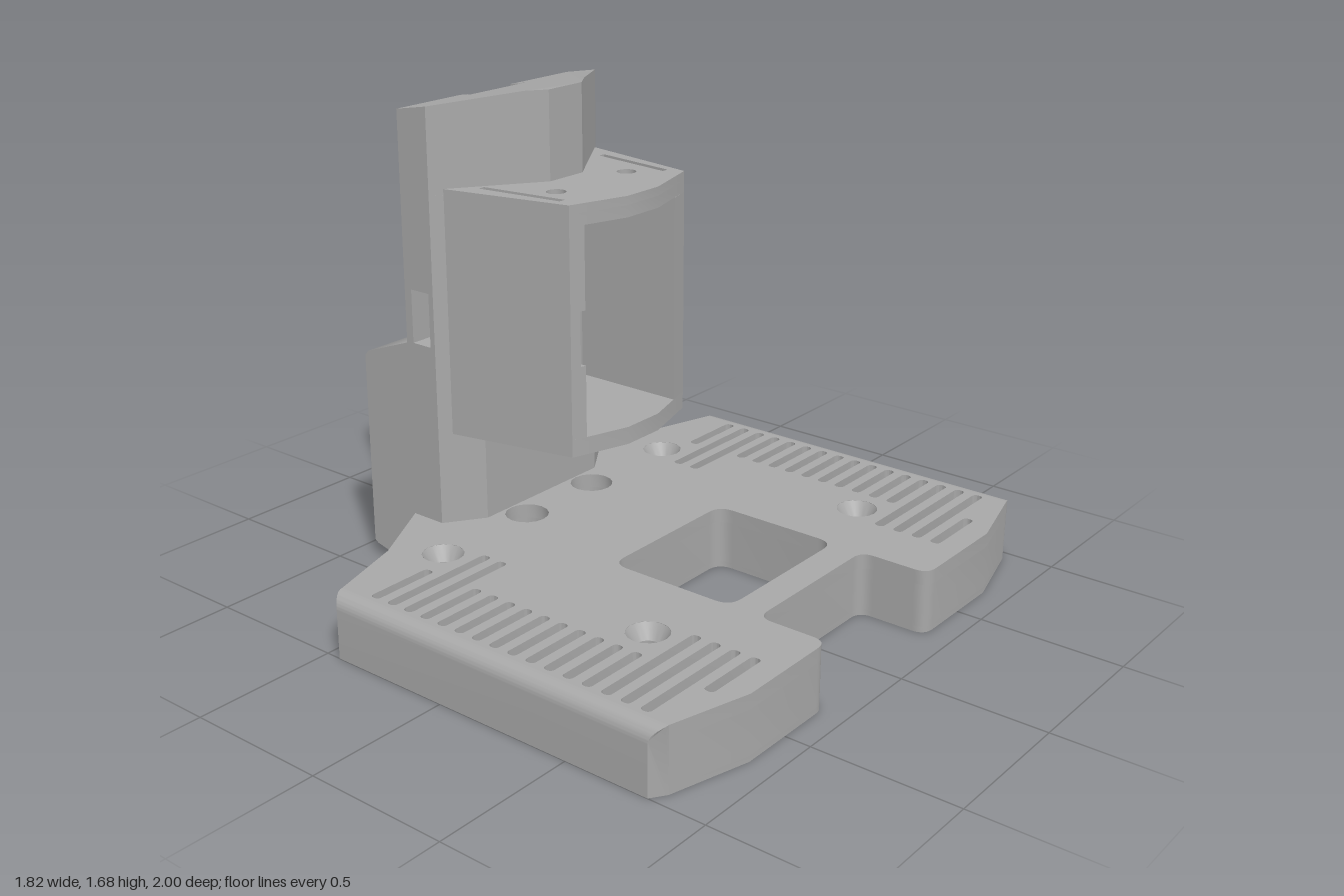
import * as THREE from 'three';
import { toCreasedNormals } from 'three/addons/utils/BufferGeometryUtils.js';

const grey = new THREE.MeshStandardMaterial({ color: 0xa8a8a8, side: THREE.DoubleSide });
grey.name = 'grey plastic';

// closed outline from [x, z, cornerRadius] points, seen from above
function outline(points, Type = THREE.Shape) {
  const p = points.map(([x, z, r = 0]) => ({ v: new THREE.Vector2(x, -z), r }));
  const path = new Type();
  p.forEach(({ v, r }, i) => {
    const prev = p[(i + p.length - 1) % p.length].v, next = p[(i + 1) % p.length].v;
    const a = prev.clone().sub(v).setLength(r).add(v);
    const b = next.clone().sub(v).setLength(r).add(v);
    if (i === 0) path.moveTo(a.x, a.y);
    else path.lineTo(a.x, a.y);
    if (r > 0) path.quadraticCurveTo(v.x, v.y, b.x, b.y);
  });
  path.closePath();
  return path;
}

const rectHole = (x0, x1, z0, z1, r = 0) =>
  outline([[x0, z0, r], [x1, z0, r], [x1, z1, r], [x0, z1, r]], THREE.Path);

const roundHole = (x, z, r) => new THREE.Path().absarc(x, -z, r, 0, Math.PI * 2, true);

function mesh(name, geo) {
  const m = new THREE.Mesh(toCreasedNormals(geo, 0.6), grey);
  m.name = name;
  return m;
}

// slab between two heights
function slabGeo(points, y0, y1, holes = []) {
  const shape = outline(points);
  shape.holes.push(...holes);
  return new THREE.ExtrudeGeometry(shape, { depth: y1 - y0, bevelEnabled: false, curveSegments: 8 })
    .rotateX(-Math.PI / 2).translate(0, y0, 0);
}
const slab = (name, ...args) => mesh(name, slabGeo(...args));

// mirror half an outline (z > 0) to the other side
const mirrored = half => [...half, ...half.slice().reverse().map(([x, z, r]) => [x, -z, r])];

function basePlate() {
  const g = new THREE.Group();
  g.name = 'basePlate';
  const rim = mirrored([
    [-0.70, 0.41], [-0.555, 0.675], [-0.47, 0.95], [0.835, 0.95], [0.91, 0.675],
    [0.91, 0.29, 0.05], [0.66, 0.29, 0.05]]);
  const screws = [[-0.40, -0.575], [-0.40, 0.575], [0.46, -0.575], [0.46, 0.575]];
  const common = () => [
    rectHole(0.08, 0.55, -0.29, 0.285, 0.06),
    roundHole(-0.40, -0.17, 0.075), roundHole(-0.40, 0.17, 0.075)];
  const screwHoles = r => screws.map(([x, z]) => roundHole(x, z, r));

  // vent slots in the top, straight grooves in the underside
  const vents = [], grooves = [];
  for (const s of [-1, 1]) {
    for (let i = 0; i < 17; i++) {
      const x = -0.343 + i * 0.0719;
      const inner = [1, 2, 13, 14, 15, 16].includes(i) ? 0.5 : 0.69;
      const outer = i === 16 ? 0.74 : 0.935;
      vents.push(rectHole(x - 0.018, x + 0.018, Math.min(s * inner, s * outer),
        Math.max(s * inner, s * outer), 0.0179));
    }
    for (const z of [0.36, 0.76, 0.86]) grooves.push(rectHole(-0.44, 0.8, s * z - 0.01, s * z + 0.01));
  }
  for (let i = 0; i < 13; i++) {
    const z = -0.36 + i * 0.06;
    grooves.push(rectHole(-0.67, -0.53, z - 0.012, z + 0.012));
  }
  g.add(slab('underside', rim, 0, 0.02, [...common(), ...screwHoles(0.04), ...grooves]));
  g.add(slab('plateCore', rim, 0.02, 0.17, [...common(), ...screwHoles(0.04)]));
  g.add(slab('plateTop', rim, 0.17, 0.22, [...common(), ...screwHoles(0.07), ...vents]));

  // countersinks
  for (const [x, z] of screws)
    g.add(mesh('countersink', new THREE.CylinderGeometry(0.07, 0.04, 0.05, 28, 1, true).translate(x, 0.195, z)));

  // long edges with a rounded top
  for (const s of [-1, 1]) {
    const profile = new THREE.Shape();
    profile.moveTo(0.95, 0);
    profile.lineTo(1, 0);
    profile.lineTo(1, 0.17);
    profile.absarc(0.95, 0.17, 0.05, 0, Math.PI / 2, false);
    profile.closePath();
    const geo = new THREE.ExtrudeGeometry(profile, { depth: 1, bevelEnabled: false, curveSegments: 8 })
      .rotateY(-s * Math.PI / 2);
    if (s > 0) geo.translate(1, 0, 0);
    const pos = geo.attributes.position;
    for (let i = 0; i < pos.count; i++) {
      const t = Math.max(0, (Math.abs(pos.getZ(i)) - 0.95) / 0.05);
      pos.setX(i, THREE.MathUtils.lerp(-0.47 + 0.025 * t * t, 0.835 - 0.035 * t * t, pos.getX(i)));
    }
    g.add(mesh('roundedEdge', geo));
  }
  return g;
}

function column() {
  const g = new THREE.Group();
  g.name = 'column';
  const side = [[-0.70, 0.41], [-0.57, 0.41]];
  const rail = [[-0.64, 0.135], [-0.655, 0.135], [-0.665, 0.12], [-0.70, 0.12]]; // slot at the back
  g.add(slab('columnFoot', mirrored([...side, [-0.48, 0.28]]), 0.1, 0.845));

  // band with the cable passage from the side into the holder
  g.add(slab('passageWall', [
    ...rail, [-0.70, 0.41], [-0.67, 0.41], [-0.67, 0.16], [-0.48, 0.16], [-0.48, -0.28], [-0.57, -0.41],
    [-0.70, -0.41], ...rail.slice().reverse().map(([x, z]) => [x, -z])], 0.845, 1.03));
  g.add(slab('passageCheek', [[-0.59, 0.41], [-0.57, 0.41], [-0.48, 0.28], [-0.48, 0.24], [-0.59, 0.24]], 0.845, 1.03));
  g.add(slab('columnMiddle', mirrored([...rail, ...side, [-0.48, 0.28]]), 1.03, 1.36));

  // head with sloping top
  const head = slabGeo(mirrored([...rail, ...side, [-0.39, 0.145], [-0.345, 0.08]]), 1.36, 1.68);
  const pos = head.attributes.position;
  for (let i = 0; i < pos.count; i++)
    if (pos.getY(i) > 1.5) pos.setY(i, Math.min(1.68, 1.625 + (pos.getX(i) + 0.70) * 0.18));
  g.add(mesh('columnHead', head));

  // housing behind the column
  const block = new THREE.Shape([[-0.91, 0.06], [-0.895, 0.05], [-0.70, 0.003], [-0.66, 0.003], [-0.66, 0.84],
    [-0.70, 0.84], [-0.895, 0.768], [-0.91, 0.75]].map(([x, y]) => new THREE.Vector2(x, y)));
  g.add(mesh('rearHousing',
    new THREE.ExtrudeGeometry(block, { depth: 0.82, bevelEnabled: false }).translate(0, 0, -0.41)));
  return g;
}

function holder() {
  const g = new THREE.Group();
  g.name = 'holder';
  const lid = [[-0.555, 0.373], [-0.095, 0.275], [-0.03, 0.07], [-0.03, -0.085], [-0.095, -0.305], [-0.555, -0.388]];
  const pins = r => [roundHole(-0.24, -0.18, r), roundHole(-0.24, 0.17, r)];
  const slits = [-1, 1].map(s => outline([
    [-0.46, s * 0.285 - 0.015], [-0.15, s * 0.245 - 0.015], [-0.15, s * 0.27 - 0.015], [-0.46, s * 0.31 - 0.015]],
  THREE.Path));
  g.add(slab('holderFloor', lid, 0.54, 0.60));
  g.add(slab('holderRoof', lid, 1.31, 1.35, pins(0.018)));
  g.add(slab('holderRoofTop', lid, 1.35, 1.38, [...pins(0.033), ...slits]));

  // side walls, the left one notched for the passage
  const wall = (s, inner) => {
    const c = -0.0125, a = s > 0 ? 0.373 : -0.388, b = s > 0 ? 0.275 : -0.305;
    const tip = -0.095 + 0.065 * (Math.abs(b - s * inner) / 0.21);
    return [[-0.555, a], [-0.095, b], [tip, s * inner], [-0.5, s * inner], [-0.555, a + s * c]];
  };
  for (const [y0, y1, inner] of [[0.60, 0.845, 0.222], [0.845, 1.03, 0.24], [1.03, 1.31, 0.222]]) {
    g.add(slab('leftWall', wall(1, inner), y0, y1));
    g.add(slab('rightWall', wall(-1, 0.222), y0, y1));
  }
  return g;
}

export function createModel() {
  const model = new THREE.Group();
  model.name = 'chargingStand';
  model.add(basePlate(), column(), holder());
  return model;
}
